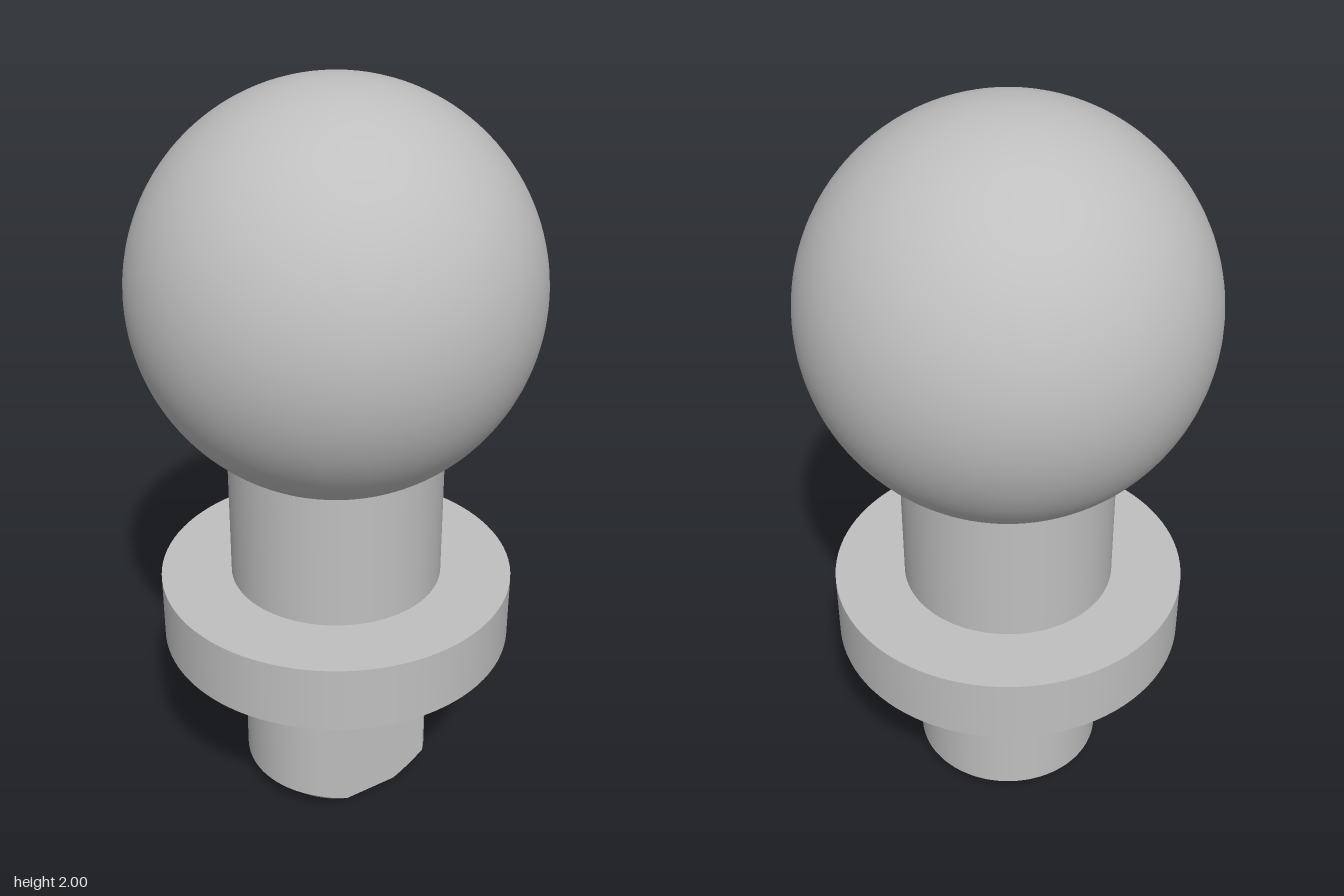
import * as THREE from 'three';

const SEG = 96;
const BALL_R = 0.521, BALL_Y = 1.479;
const NECK_R = 0.285, FLANGE_R = 0.475;
const FLANGE_BOTTOM = 0.483, FLANGE_TOP = 0.667;
const SHANK_R = 0.257, TIP_R = 0.2, CHAMFER = 0.058, FLAT_Z = 0.184;

// Angle from +z at which a circle of radius r meets the flat
const flatAngle = (r) => Math.acos(FLAT_Z / r);

// Chamfered tip: conical rings, each cut off at the flat
function chamferGeometry(rings = 8) {
  const pos = [], nor = [], index = [];
  const n = new THREE.Vector2(CHAMFER, -(SHANK_R - TIP_R)).normalize();
  for (let i = 0; i <= rings; i++) {
    const t = i / rings, r = TIP_R + (SHANK_R - TIP_R) * t, a = flatAngle(r);
    for (let j = 0; j <= SEG; j++) {
      const th = a + (2 * Math.PI - 2 * a) * j / SEG;
      pos.push(r * Math.sin(th), CHAMFER * t, r * Math.cos(th));
      nor.push(n.x * Math.sin(th), n.y, n.x * Math.cos(th));
      if (i < rings && j < SEG) {
        const p = i * (SEG + 1) + j, q = p + SEG + 1;
        index.push(p, p + 1, q, p + 1, q + 1, q);
      }
    }
  }
  const g = new THREE.BufferGeometry();
  g.setAttribute('position', new THREE.Float32BufferAttribute(pos, 3));
  g.setAttribute('normal', new THREE.Float32BufferAttribute(nor, 3));
  g.setIndex(index);
  return g;
}

// Planar flat, its lower corners following the chamfer
function flatGeometry(rings = 8) {
  const side = [];
  for (let i = 0; i <= rings; i++) {
    const t = i / rings, r = TIP_R + (SHANK_R - TIP_R) * t;
    side.push(new THREE.Vector2(Math.sqrt(r * r - FLAT_Z * FLAT_Z), CHAMFER * t));
  }
  side.push(new THREE.Vector2(side[rings].x, FLANGE_BOTTOM));
  const mirrored = side.map((p) => new THREE.Vector2(-p.x, p.y)).reverse();
  return new THREE.ShapeGeometry(new THREE.Shape([...side, ...mirrored])).translate(0, 0, FLAT_Z);
}

// Bottom face: a disc with one side cut straight
function tipGeometry() {
  const a = flatAngle(TIP_R), pts = [];
  for (let j = 0; j <= SEG; j++) {
    const th = a + (2 * Math.PI - 2 * a) * j / SEG;
    pts.push(new THREE.Vector2(TIP_R * Math.sin(th), TIP_R * Math.cos(th)));
  }
  return new THREE.ShapeGeometry(new THREE.Shape(pts)).rotateX(Math.PI / 2);
}

export function createModel() {
  const model = new THREE.Group();
  model.name = 'ballStud';
  const steel = new THREE.MeshStandardMaterial({ color: 0xbfbfbf });
  steel.name = 'steel grey';
  const add = (name, geometry, y = 0, parent = model) => {
    const mesh = new THREE.Mesh(geometry, steel);
    mesh.name = name;
    mesh.position.y = y;
    parent.add(mesh);
  };

  // Ball, open where the neck enters it
  const cut = Math.PI - Math.asin(NECK_R / BALL_R);
  add('ball', new THREE.SphereGeometry(BALL_R, SEG, 64, 0, Math.PI * 2, 0, cut), BALL_Y);

  // Neck
  const neckTop = BALL_Y + BALL_R * Math.cos(cut);
  add('neck', new THREE.CylinderGeometry(NECK_R, NECK_R, neckTop - FLANGE_TOP, SEG, 1, true),
    (neckTop + FLANGE_TOP) / 2);

  // Flange
  add('flange', new THREE.CylinderGeometry(FLANGE_R, FLANGE_R, FLANGE_TOP - FLANGE_BOTTOM, SEG),
    (FLANGE_TOP + FLANGE_BOTTOM) / 2);

  // Shank with a flat on the front and a chamfered tip
  const shank = new THREE.Group();
  shank.name = 'shank';
  model.add(shank);
  const a = flatAngle(SHANK_R);
  add('shankSide', new THREE.CylinderGeometry(SHANK_R, SHANK_R, FLANGE_BOTTOM - CHAMFER, SEG, 1, true,
    a, 2 * Math.PI - 2 * a), (FLANGE_BOTTOM + CHAMFER) / 2, shank);
  add('shankFlat', flatGeometry(), 0, shank);
  add('shankChamfer', chamferGeometry(), 0, shank);
  add('shankTip', tipGeometry(), 0, shank);
  return model;
}
